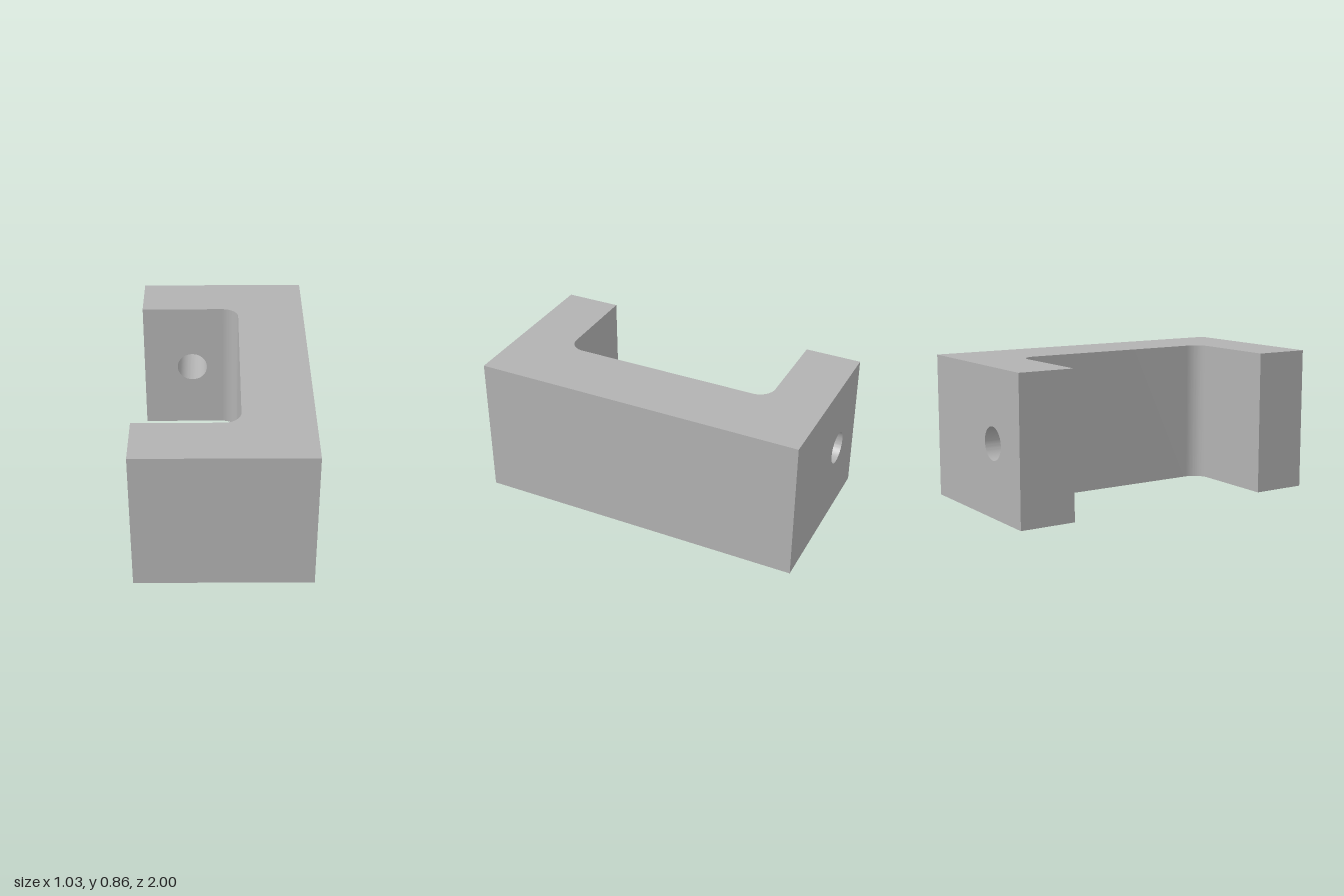
import * as THREE from 'three';
import { toCreasedNormals } from 'three/addons/utils/BufferGeometryUtils.js';

const HALF_X = 0.515, HALF_Z = 1, HEIGHT = 0.863;
const INNER_X = 0.1, INNER_Z = 0.66, FILLET = 0.1;
const HOLE = { x: -0.2, y: HEIGHT / 2, r: 0.097 };

export function createModel() {
  const grey = new THREE.MeshStandardMaterial({ color: 0xb2b2b2 });
  grey.name = 'plain grey';
  const model = new THREE.Group();
  model.name = 'bracket';

  const add = (name, geometry) => {
    const mesh = new THREE.Mesh(toCreasedNormals(geometry, 0.5), grey);
    mesh.name = name;
    model.add(mesh);
  };

  // Web, front arm and both inner fillets: plan outline (x, z) extruded upwards
  const plan = new THREE.Shape();
  plan.moveTo(HALF_X, -INNER_Z);
  plan.lineTo(HALF_X, HALF_Z);
  plan.lineTo(-HALF_X, HALF_Z);
  plan.lineTo(-HALF_X, INNER_Z);
  plan.lineTo(INNER_X - FILLET, INNER_Z);
  plan.absarc(INNER_X - FILLET, INNER_Z - FILLET, FILLET, Math.PI / 2, 0, true);
  plan.lineTo(INNER_X, -INNER_Z + FILLET);
  plan.absarc(INNER_X - FILLET, -INNER_Z + FILLET, FILLET, 0, -Math.PI / 2, true);
  const body = new THREE.ExtrudeGeometry(plan, { depth: HEIGHT, bevelEnabled: false, curveSegments: 16 });
  body.rotateX(Math.PI / 2).translate(0, HEIGHT, 0);
  add('webAndFrontArm', body);

  // Back arm: block with a round through hole
  const face = new THREE.Shape();
  face.moveTo(-HALF_X, 0);
  face.lineTo(HALF_X, 0);
  face.lineTo(HALF_X, HEIGHT);
  face.lineTo(-HALF_X, HEIGHT);
  face.closePath();
  face.holes.push(new THREE.Path().absarc(HOLE.x, HOLE.y, HOLE.r, 0, Math.PI * 2, true));
  const arm = new THREE.ExtrudeGeometry(face, { depth: HALF_Z - INNER_Z, bevelEnabled: false, curveSegments: 40 });
  arm.translate(0, 0, -HALF_Z);
  add('drilledBackArm', arm);

  return model;
}
